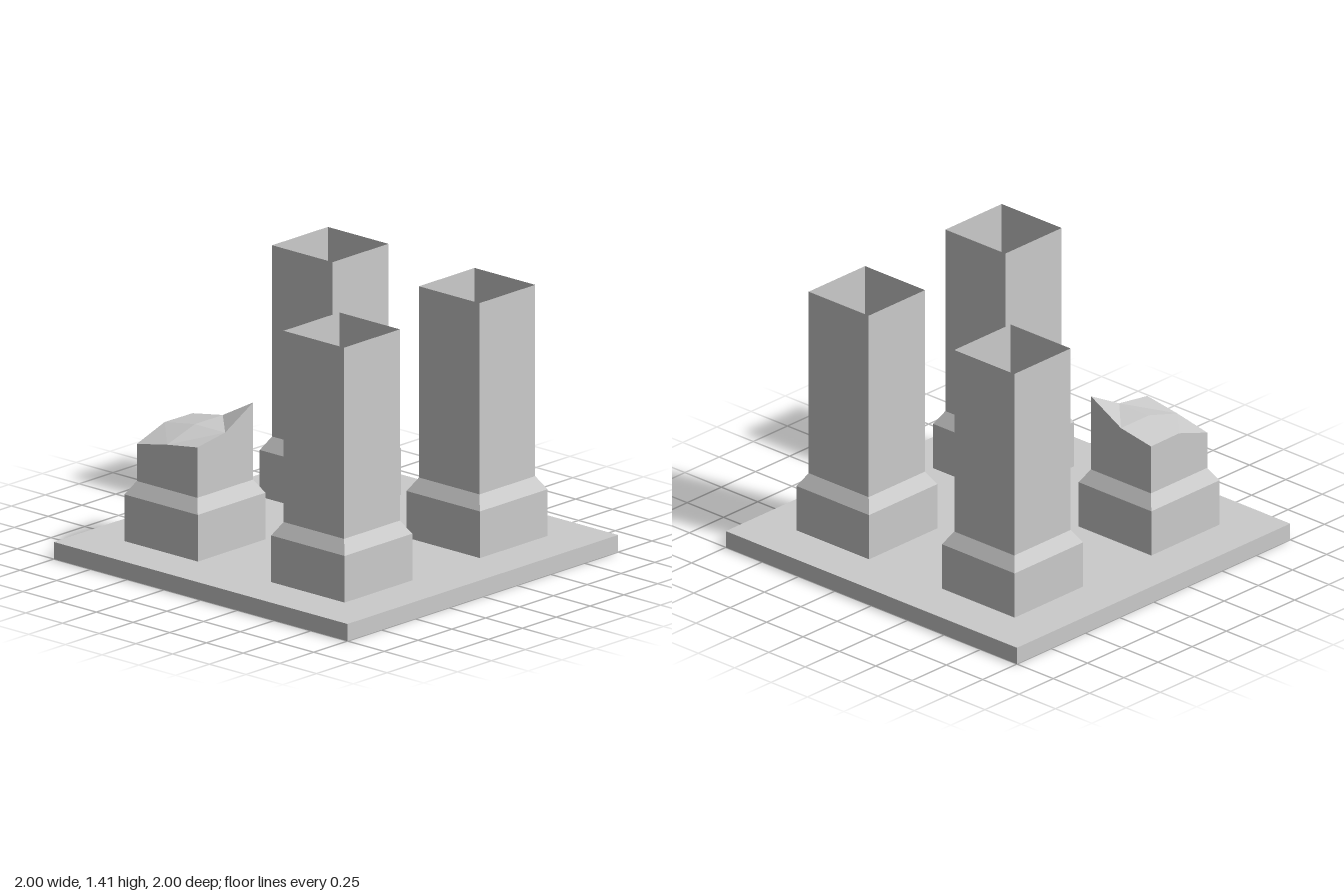
import * as THREE from 'three';

const PLATE_Y = 0.09, SPREAD = 0.5;
const PLINTH = 0.25, SHAFT = 0.206;
const PLINTH_TOP = 0.335, SHAFT_Y = 0.405, SHAFT_TOP = 1.41;

const material = new THREE.MeshStandardMaterial({
  color: 0xcccccc, flatShading: true, side: THREE.DoubleSide,
});

function part(name, geometry, parent) {
  const mesh = new THREE.Mesh(geometry, material);
  mesh.name = name;
  parent.add(mesh);
  return mesh;
}

// Open square shell from a profile of [half width, height] pairs
function squareShell(profile) {
  const points = profile.map(([half, y]) => new THREE.Vector2(half * Math.SQRT2, y));
  const geometry = new THREE.LatheGeometry(points, 4, Math.PI / 4).toNonIndexed();
  geometry.computeVertexNormals();
  return geometry;
}

function trianglesGeometry(triangles) {
  const geometry = new THREE.BufferGeometry();
  geometry.setAttribute('position', new THREE.Float32BufferAttribute(triangles.flat(2), 3));
  geometry.computeVertexNormals();
  return geometry;
}

function square(target, cx, cy, half) {
  target.moveTo(cx - half, cy - half);
  target.lineTo(cx + half, cy - half);
  target.lineTo(cx + half, cy + half);
  target.lineTo(cx - half, cy + half);
  target.closePath();
  return target;
}

// Stump with a jagged, faceted break on top
function addBrokenShaft(parent) {
  const s = SHAFT;
  // Rim from front left corner, counterclockwise seen from above
  const rim = [
    [-s, 0.60, s], [0, 0.64, s], [s, 0.67, s], [s, 0.70, 0],
    [s, 0.81, -s], [0, 0.70, -s], [-s, 0.665, -s], [-s, 0.667, 0],
  ];
  const center = [0, 0.70, 0];
  const walls = [], cap = [];
  rim.forEach((a, i) => {
    const b = rim[(i + 1) % 8];
    const a0 = [a[0], SHAFT_Y, a[2]], b0 = [b[0], SHAFT_Y, b[2]];
    walls.push([a0, b0, b], [a0, b, a]);
    if (i % 2 === 0) {
      const before = rim[(i + 7) % 8];
      cap.push([before, a, b], [center, before, b]);
    }
  });
  part('brokenShaft', trianglesGeometry(walls), parent);
  part('brokenTop', trianglesGeometry(cap), parent);
}

export function createModel() {
  const model = new THREE.Group();
  model.name = 'pillarBase';

  // Base plate, open underneath, with a hole under each pillar
  const outline = square(new THREE.Shape(), 0, 0, 1);
  for (const x of [-SPREAD, SPREAD]) {
    for (const z of [-SPREAD, SPREAD]) {
      outline.holes.push(square(new THREE.Path(), x, -z, PLINTH));
    }
  }
  part('basePlateTop', new THREE.ShapeGeometry(outline).rotateX(-Math.PI / 2), model)
    .position.y = PLATE_Y;
  part('basePlateSides', squareShell([[1, 0], [1, PLATE_Y]]), model);

  // Four hollow pillars, the front one at -x broken off
  for (const x of [-SPREAD, SPREAD]) {
    for (const z of [-SPREAD, SPREAD]) {
      const broken = x < 0 && z > 0;
      const pillar = new THREE.Group();
      pillar.name = broken ? 'brokenPillar' : 'pillar';
      pillar.position.set(x, 0, z);
      part('plinth', squareShell([[PLINTH, PLATE_Y], [PLINTH, PLINTH_TOP], [SHAFT, SHAFT_Y]]), pillar);
      if (broken) addBrokenShaft(pillar);
      else part('shaft', squareShell([[SHAFT, SHAFT_Y], [SHAFT, SHAFT_TOP]]), pillar);
      model.add(pillar);
    }
  }
  return model;
}
